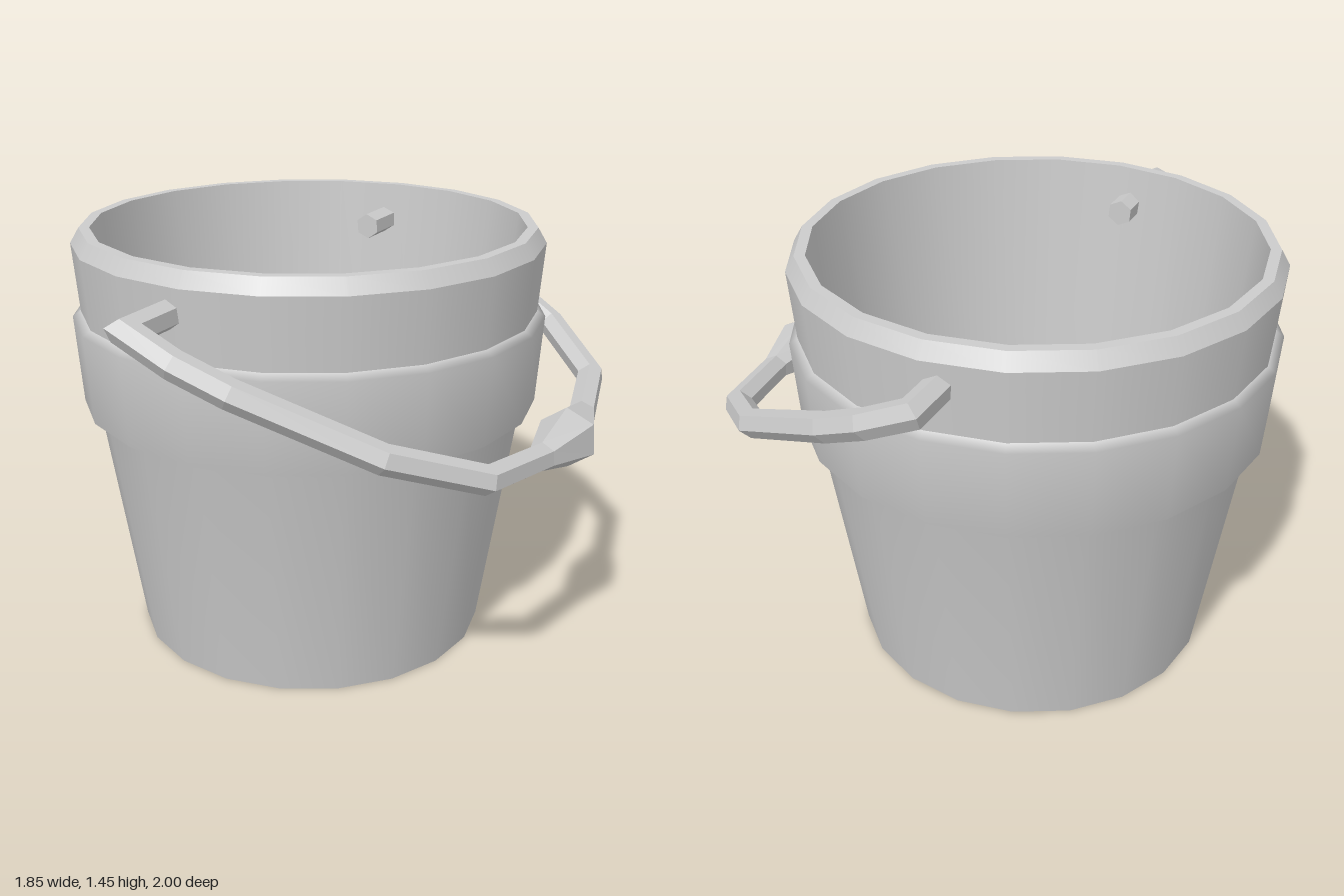
import * as THREE from 'three';

const grey = new THREE.MeshStandardMaterial({ color: 0xcccccc });
const faceted = new THREE.MeshStandardMaterial({ color: 0xcccccc, flatShading: true });

// Ring of the pail: a profile turned around y with 20 sides
function turned(name, profile) {
  const points = profile.map(([r, y]) => new THREE.Vector2(r, y));
  const mesh = new THREE.Mesh(new THREE.LatheGeometry(points, 20), grey);
  mesh.name = name;
  return mesh;
}

// Hexagonal bar with mitred corners along a path of [a, z, radius],
// where a runs along the tilted handle plane and z across it
function hexBar(path, along, normal) {
  const sides = 6, positions = [], index = [];
  const at = (a, z) => along.clone().multiplyScalar(a).add(new THREE.Vector3(0, 0, z));
  const pts = path.map(([a, z]) => new THREE.Vector2(a, z));
  pts.forEach((p, i) => {
    const before = p.clone().sub(pts[Math.max(i - 1, 0)]).normalize();
    const after = pts[Math.min(i + 1, pts.length - 1)].clone().sub(p).normalize();
    if (i === 0) before.copy(after);
    if (i === pts.length - 1) after.copy(before);
    const t = before.clone().add(after).normalize();
    const r = path[i][2], mitre = r / t.dot(after);
    for (let k = 0; k < sides; k++) {
      const ang = (k / sides) * Math.PI * 2;
      const w = Math.cos(ang) * mitre;
      const v = at(p.x - t.y * w, p.y + t.x * w).addScaledVector(normal, Math.sin(ang) * r);
      positions.push(v.x, v.y, v.z);
    }
  });
  for (let i = 0; i < pts.length - 1; i++) {
    for (let k = 0; k < sides; k++) {
      const a = i * sides + k, b = i * sides + (k + 1) % sides;
      index.push(a, a + sides, b, b, a + sides, b + sides);
    }
  }
  // End caps
  const last = (pts.length - 1) * sides;
  for (let k = 1; k < sides - 1; k++) {
    index.push(0, k, k + 1, last, last + k + 1, last + k);
  }
  const geo = new THREE.BufferGeometry();
  geo.setAttribute('position', new THREE.Float32BufferAttribute(positions, 3));
  geo.setIndex(index);
  const flat = geo.toNonIndexed();
  flat.computeVertexNormals();
  return flat;
}

export function createModel() {
  const model = new THREE.Group();
  model.name = 'bucket';

  // Pail: stepped outer wall, chamfered lip, tapered inside and floor
  const pail = new THREE.Group();
  pail.name = 'pail';
  pail.position.set(-0.12, 0, -0.03);
  pail.add(
    turned('base', [[0, 0], [0.617, 0]]),
    turned('bodyAndBand', [[0.617, 0], [0.737, 0.82], [0.785, 0.85], [0.805, 1.15], [0.777, 1.168]]),
    turned('collar', [[0.777, 1.168], [0.795, 1.4]]),
    turned('lipChamfer', [[0.795, 1.4], [0.765, 1.45]]),
    turned('lipTop', [[0.765, 1.45], [0.73, 1.45]]),
    turned('innerWall', [[0.73, 1.45], [0.607, 0.03]]),
    turned('floor', [[0.607, 0.03], [0, 0.03]]),
  );
  model.add(pail);

  // Handle: swung down to one side, with pins through the wall and a swollen grip
  const slope = -0.47, r = 0.046;
  const along = new THREE.Vector3(1, slope, 0);
  const stretch = along.length();
  along.normalize();
  const normal = new THREE.Vector3(-slope, 1, 0).normalize();
  const half = [
    [0, -0.59], [0, -0.954], [0.15, -0.954], [0.305, -0.915],
    [0.695, -0.745], [0.92, -0.52], [0.985, -0.21],
  ].map(([x, z]) => [x * stretch, z, r]);
  const path = [
    ...half,
    [stretch, 0, 0.1],
    ...half.map(([a, z, s]) => [a, -z, s]).reverse(),
  ];
  const handle = new THREE.Mesh(hexBar(path, along, normal), faceted);
  handle.name = 'handle';
  handle.position.set(-0.17, 1.315, 0);
  model.add(handle);

  return model;
}
